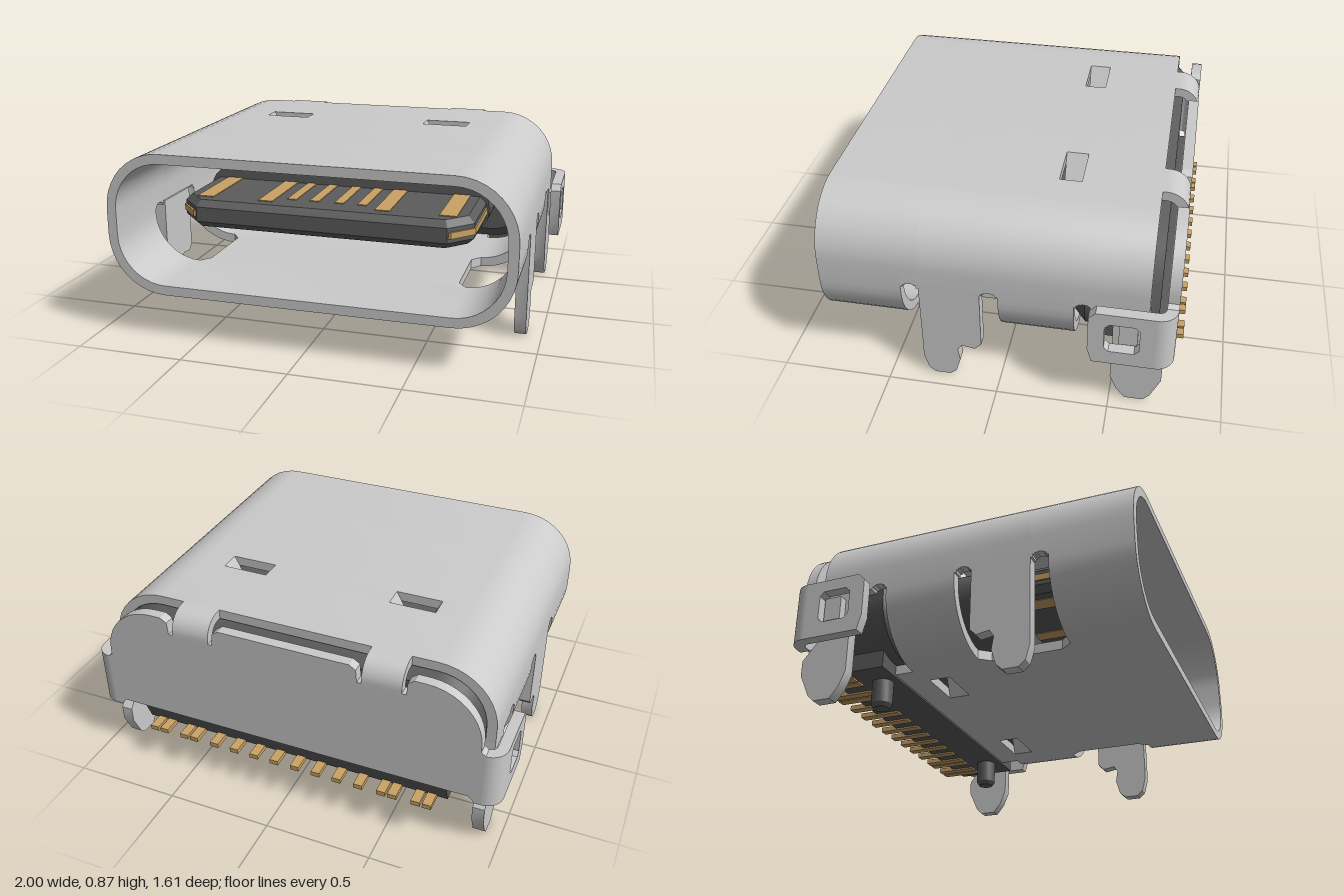
import * as THREE from 'three';
import { mergeGeometries, toCreasedNormals } from 'three/addons/utils/BufferGeometryUtils.js';

const paint = (name, hex) => {
  const m = new THREE.MeshStandardMaterial({ color: hex });
  m.name = name;
  return m;
};

export function createModel() {
  const root = new THREE.Group();
  root.name = 'receptacleConnector';
  const steel = paint('brushed steel', 0xcbcbcb);
  const plastic = paint('dark plastic', 0x5c5c5c);
  const gold = paint('gold contacts', 0xcaa366);

  const add = (name, geo, mat) => {
    const m = new THREE.Mesh(toCreasedNormals(geo, 0.5), mat);
    m.name = name;
    root.add(m);
    return m;
  };
  const shapeOf = pts => new THREE.Shape(pts.map(p => new THREE.Vector2(p[0], p[1])));
  // Outline in x,y pushed along z
  const alongZ = (shape, z0, z1, opt = {}) =>
    new THREE.ExtrudeGeometry(shape, { depth: z1 - z0, bevelEnabled: false, curveSegments: 12, ...opt }).translate(0, 0, z0);
  // Outline in z,y pushed along x
  const alongX = (pts, x0, x1, hole) => {
    const s = shapeOf(pts.map(([z, y]) => [-z, y]));
    if (hole) s.holes.push(shapeOf(hole.map(([z, y]) => [-z, y])));
    return alongZ(s, 0, x1 - x0).rotateY(Math.PI / 2).translate(x0, 0, 0);
  };
  // Outline in x,z pushed along y
  const alongY = (pts, y0, y1, opt) =>
    alongZ(shapeOf(pts.map(([x, z]) => [x, -z])), 0, y1 - y0, opt).rotateX(-Math.PI / 2).translate(0, y0, 0);
  const box = (x0, x1, y0, y1, z0, z1) =>
    new THREE.BoxGeometry(x1 - x0, y1 - y0, z1 - z0).translate((x0 + x1) / 2, (y0 + y1) / 2, (z0 + z1) / 2);
  const mirrorX = pts => pts.map(([x, y]) => [-x, y]).reverse();
  const arc = (cx, cy, r, a0, a1, n = 10) => Array.from({ length: n + 1 }, (_, i) => {
    const a = a0 + (a1 - a0) * i / n;
    return [cx + r * Math.cos(a), cy + r * Math.sin(a)];
  });

  // Shell dimensions
  const W = 0.93, Y0 = 0.21, Y1 = 0.87, R = 0.27, T = 0.045, Q = Math.PI / 2;
  // Spring dip as x,y offsets, listed from the outside inwards
  const dipPts = (o, y, dir) => {
    const k = o * 0.5;
    return [[0.53 + k, y], [0.47 + k, y + dir * 0.115], [0.37 - k, y + dir * 0.115], [0.31 - k, y]];
  };
  // Right half of the shell profile, inset by o, from the bottom or a side cut to the top
  const half = (o, cut, dip) => {
    const r = R - o;
    const top = arc(W - R, Y1 - R, r, 0, Q);
    if (dip) top.push(...dipPts(o, Y1 - o, -1));
    if (cut) return [[W - o, cut], ...top];
    const bottom = arc(W - R, Y0 + R, r, -Q, 0);
    if (dip) bottom.unshift(...dipPts(o, Y0 + o, 1).reverse());
    return [...bottom, ...top];
  };
  const loop = (o, dip) => { const h = half(o, 0, dip); return [...h, ...mirrorX(h)]; };

  // Shell, made of slices along z
  const slices = [];
  const fullSlice = (z0, z1, dip) => {
    const s = shapeOf(loop(0, dip));
    s.holes.push(shapeOf(loop(T, dip)));
    slices.push(alongZ(s, z0, z1));
  };
  const roofSlice = (z0, z1, cut) => {
    const a = half(0, cut), b = half(T, cut);
    slices.push(alongZ(shapeOf([...a, ...mirrorX(a), ...mirrorX(b).reverse(), ...b.reverse()]), z0, z1));
  };
  const roundSlot = (z0, z1) => {
    const n = 8, r = (z1 - z0) / 2, d = (z1 - z0) / n;
    for (let i = 0; i < n; i++) {
      const t = (i + 0.5) * d - r;
      roofSlice(z0 + i * d, z0 + (i + 1) * d, 0.48 + Math.sqrt(r * r - t * t));
    }
  };
  fullSlice(0.43, 0.8);
  roundSlot(0.35, 0.43);
  roofSlice(0.08, 0.35, 0.5);
  roundSlot(0, 0.08);
  fullSlice(-0.2, 0);
  fullSlice(-0.3, -0.2, true);
  fullSlice(-0.33, -0.3);
  roundSlot(-0.41, -0.33);
  roofSlice(-0.65, -0.41, 0.5);
  add('shell', mergeGeometries(slices), steel);
  // Bottom plate between the leg cutouts
  add('shellFloor', alongY([[-0.66, 0], [0.66, 0], [0.62, 0.05], [0.62, 0.38], [0.66, 0.43], [-0.66, 0.43],
    [-0.62, 0.38], [-0.62, 0.05]], Y0, Y0 + T), steel);
  add('shellFloorRear', box(-0.64, 0.64, Y0, Y0 + T, -0.42, -0.33), steel);

  // Legs and rear clamp arms
  const frontLeg = [[0.35, 0.52], [0.35, 0.1], [0.33, 0.03], [0.3, 0.003], [0.23, 0.003], [0.2, 0.03], [0.18, 0.1],
    [0.19, 0.16], [0.17, 0.19], [0.11, 0.18], [0.08, 0.21], [0.08, 0.52]];
  const rearLeg = [[-0.5, 0.52], [-0.5, 0.12], [-0.53, 0.05], [-0.57, 0], [-0.65, 0], [-0.68, 0.03], [-0.725, 0.13],
    [-0.725, 0.2], [-0.66, 0.28], [-0.65, 0.52]];
  const arm = [[-0.69, 0.27], [-0.69, 0.545], [-0.43, 0.545], [-0.4, 0.515], [-0.4, 0.34], [-0.42, 0.27]];
  const armHole = [[-0.47, 0.36], [-0.49, 0.34], [-0.6, 0.34], [-0.62, 0.36], [-0.62, 0.47], [-0.6, 0.49],
    [-0.49, 0.49], [-0.47, 0.47]];
  for (const s of [1, -1]) {
    const side = s > 0 ? 'left' : 'right';
    const span = (a, b) => (s > 0 ? [a, b] : [-b, -a]);
    add(side + 'FrontLeg', alongX(frontLeg, ...span(W - 0.055, W)), steel);
    add(side + 'RearLeg', alongX(rearLeg, ...span(W - 0.055, W)), steel);
    add(side + 'ClampArm', alongX(arm, ...span(0.95, 1), armHole), steel);
    add(side + 'ClampBarb', alongX([[-0.53, 0.36], [-0.61, 0.36], [-0.61, 0.47], [-0.53, 0.47]], ...span(0.92, 0.97)), steel);
    const bend = [...arc(0.92, -0.69, 0.08, 0, -Q), ...arc(0.92, -0.69, 0.03, -Q, 0)].map(([x, z]) => [s * x, z]);
    add(side + 'ClampBend', alongY(bend, 0.27, 0.545), steel);
    // Strap folding from the shell roof to the back plate
    const strap = [[-0.64, 0.87], ...arc(-0.67, 0.77, 0.1, Q, Math.PI), [-0.77, 0.74], [-0.725, 0.74],
      ...arc(-0.67, 0.77, 0.055, Math.PI, Q), [-0.64, 0.825]];
    add(side + 'RoofStrap', alongX(strap, ...span(0.365, 0.545)), steel);
    // Locating peg with a chamfered tip
    const peg = new THREE.LatheGeometry([[0, 0.07], [0.037, 0.07], [0.05, 0.09], [0.05, 0.25]]
      .map(p => new THREE.Vector2(p[0], p[1])), 20);
    add(side + 'Peg', peg.translate(s * 0.6, 0, -0.505), plastic);
  }

  // Back plate with notches beside the straps
  const plateHalf = [[0.86, 0.3], [0.89, 0.27], [0.92, 0.27], [0.92, 0.545], [0.9, 0.56], ...arc(0.65, 0.59, 0.25, 0, Q),
    [0.6, 0.84], [0.57, 0.82], [0.565, 0.76], [0.345, 0.76], [0.34, 0.82], [0.31, 0.84]];
  add('backPlate', alongZ(shapeOf([...plateHalf, ...mirrorX(plateHalf)]), -0.77, -0.72), steel);

  // Plastic housing
  const bevel = { bevelEnabled: true, bevelSize: 0.05, bevelThickness: 0.05, bevelSegments: 1 };
  add('housing', alongZ(shapeOf(loop(T + 0.053)), -0.64, -0.37, bevel), plastic);
  const foot = [[-0.42, 0.2], [-0.72, 0.2], [-0.76, 0.3], [-0.72, 0.35], [-0.42, 0.35]];
  add('housingFoot', alongX(foot, -0.76, 0.76), plastic);

  // Tongue and its thicker root
  const rootHalf = [...arc(0.595, 0.535, 0.115, -Q, 0), ...arc(0.595, 0.55, 0.115, 0, Q)];
  add('tongueRoot', alongZ(shapeOf([...rootHalf, ...mirrorX(rootHalf)]), -0.35, 0.14), plastic);
  const tongue = [[-0.665, -0.3], [0.665, -0.3], [0.665, 0.46], [0.58, 0.55], [-0.58, 0.55], [-0.665, 0.46]];
  add('tongue', alongY(tongue, 0.505, 0.575,
    { bevelEnabled: true, bevelSize: 0.03, bevelThickness: 0.03, bevelSegments: 1 }), plastic);
  for (const s of [1, -1]) {
    const blade = [[0.55, 0.1], [0.702, 0.1], [0.702, 0.475], [0.61, 0.575], [0.55, 0.575]].map(([x, z]) => [s * x, z]);
    add('sideBlade', alongY(blade, 0.525, 0.555), gold);
  }

  // Tongue contacts on both faces: x, width, back z, front z
  const pads = [];
  for (const [x, w, z0, z1] of [[0.58, 0.08, 0.14, 0.5], [0.28, 0.07, 0.14, 0.5], [0.17, 0.045, 0.14, 0.44], [0.06, 0.045, 0.14, 0.44]])
    for (const s of [1, -1])
      for (const y of [0.605, 0.475])
        pads.push(box(s * x - w / 2, s * x + w / 2, y - 0.004, y + 0.004, z0, z1));
  add('tongueContacts', mergeGeometries(pads), gold);

  // Solder tails; the outer ones sit in close pairs
  const tails = [];
  for (const x of [0.052, 0.156, 0.26, 0.365, 0.475, 0.528, 0.637, 0.69])
    for (const s of [1, -1])
      tails.push(box(s * x - 0.021, s * x + 0.021, 0.192, 0.215, -0.805, -0.6));
  add('solderTails', mergeGeometries(tails), gold);

  return root;
}
